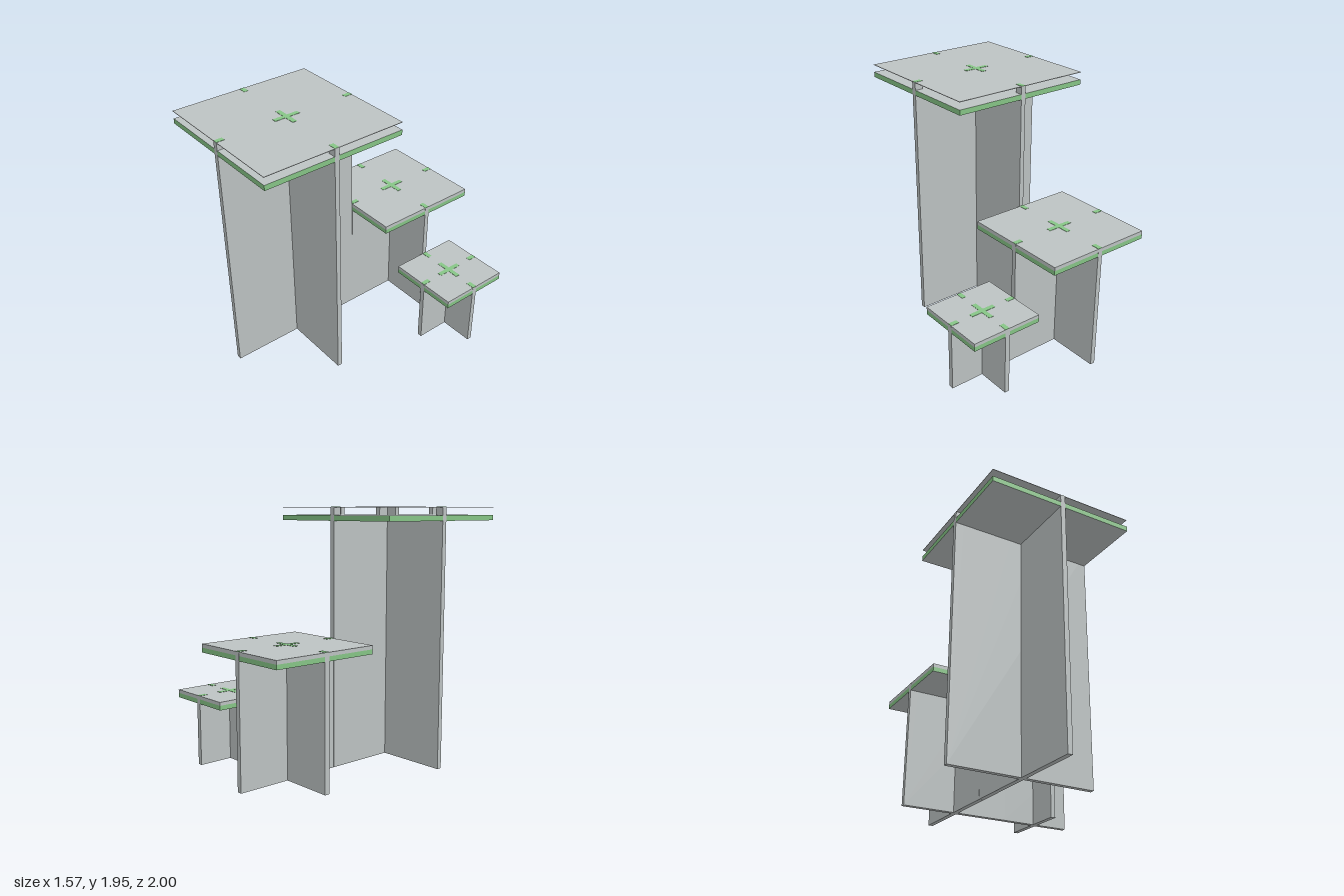
import * as THREE from 'three';

const T = 0.038; // panel thickness

export function createModel() {
  const grey = new THREE.MeshStandardMaterial({ color: 0xbdc3c3 });
  grey.name = 'panel grey';
  const green = new THREE.MeshStandardMaterial({ color: 0x86c586 });
  green.name = 'edge green';

  const model = new THREE.Group();
  model.name = 'nestedTables';

  function box(parent, name, size, pos, material) {
    const m = new THREE.Mesh(new THREE.BoxGeometry(...size), material);
    m.name = name;
    m.position.set(...pos);
    parent.add(m);
    return m;
  }

  // Upright panel whose top has tabs at both ends and in the middle
  function panelGeometry(half, under, top, end, mid) {
    const h = half + 0.001;
    const s = new THREE.Shape([
      [-h, 0], [h, 0], [h, top], [half - end, top], [half - end, under],
      [mid, under], [mid, top], [-mid, top], [-mid, under],
      [end - half, under], [end - half, top], [-h, top],
    ].map(([x, y]) => new THREE.Vector2(x, y)));
    return new THREE.ExtrudeGeometry(s, { depth: T, bevelEnabled: false }).translate(0, 0, -T / 2);
  }

  function table({ name, x, z, size, under, split, upper, top, end, mid }) {
    const g = new THREE.Group();
    g.name = name;
    g.position.set(x, 0, z);
    const half = size / 2;

    // Two crossed panels, with green caps on the tabs
    const geo = panelGeometry(half, under, top, end, mid);
    for (const [label, angle] of [['sidePanel', 0], ['depthPanel', Math.PI / 2]]) {
      const leg = new THREE.Group();
      leg.name = label;
      leg.rotation.y = angle;
      const panel = new THREE.Mesh(geo, grey);
      panel.name = label + 'Board';
      leg.add(panel);
      for (const [cx, w] of [[end / 2 - half, end], [0, mid * 2], [half - end / 2, end]]) {
        box(leg, 'tabCap', [w, 0.003, T - 0.002], [cx, top + 0.0005, 0], green);
      }
      g.add(leg);
    }

    // Lower slab has green edges and grey faces
    box(g, 'lowerSlab', [size, split - under, size], [0, (split + under) / 2, 0],
      [green, green, grey, grey, green, green]);
    // Upper slab
    box(g, 'topSlab', [size, top - upper, size], [0, (top + upper) / 2, 0], grey);
    model.add(g);
  }

  table({ name: 'tallTable', x: -0.215, z: 0.43, size: 1.14, under: 1.85, split: 1.89, upper: 1.946, top: 1.95, end: 0.063, mid: 0.103 });
  table({ name: 'middleTable', x: -0.215, z: -0.572, size: 0.856, under: 0.927, split: 0.962, upper: 0.962, top: 0.99, end: 0.067, mid: 0.103 });
  table({ name: 'lowTable', x: 0.498, z: -0.573, size: 0.57, under: 0.478, split: 0.513, upper: 0.513, top: 0.539, end: 0.067, mid: 0.103 });

  return model;
}
